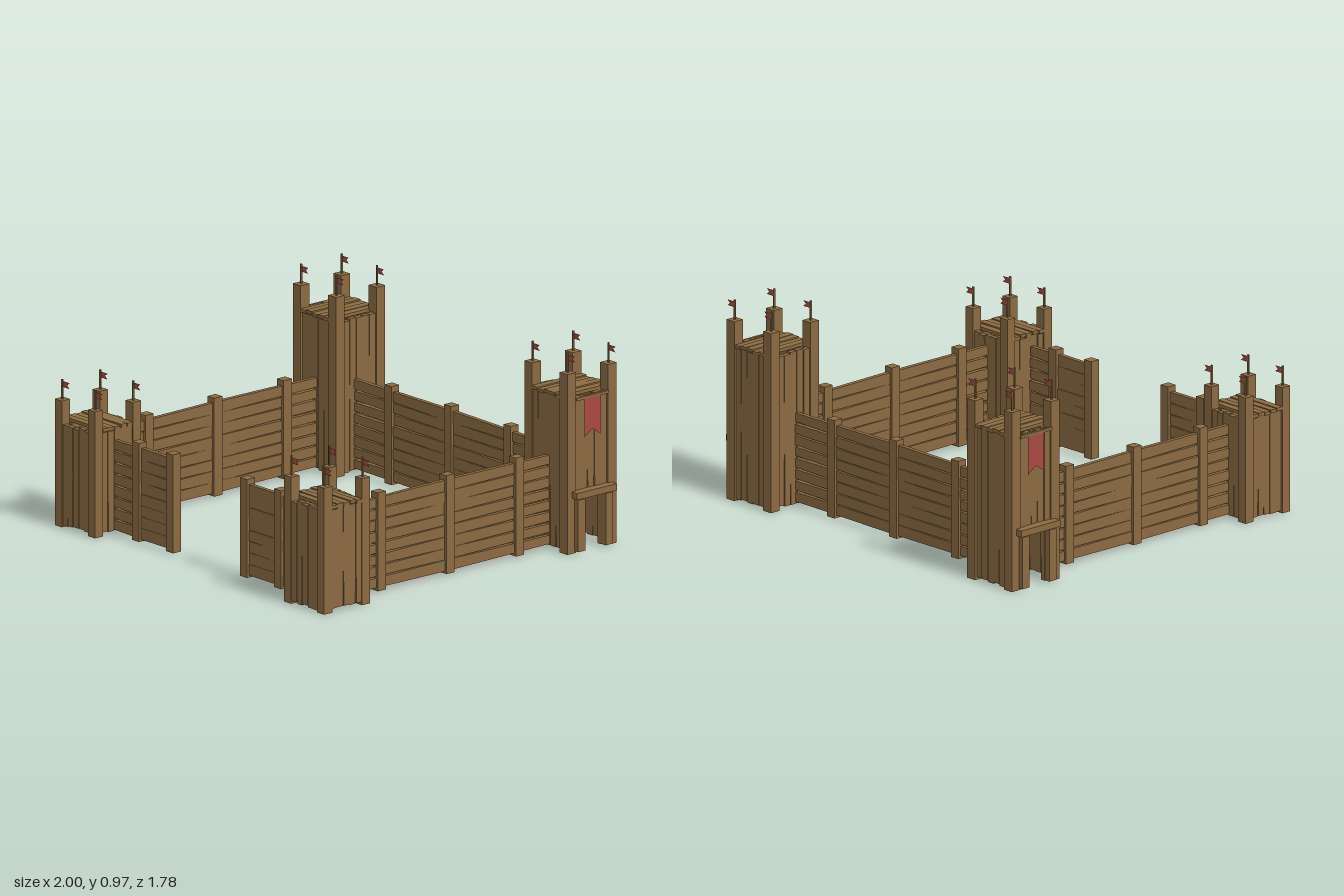
import * as THREE from 'three';

const wood = new THREE.MeshStandardMaterial({ color: 0x8b6b42 });
const cloth = new THREE.MeshStandardMaterial({ color: 0xa84a42, side: THREE.DoubleSide });

// Small seeded generator for hand-cut irregularity
let seed = 7;
const rand = () => (seed = (seed * 16807) % 2147483647) / 2147483647;
const jitter = (a) => (rand() - 0.5) * 2 * a;

function box(name, parent, w, h, d, x, y, z) {
  const m = new THREE.Mesh(new THREE.BoxGeometry(w, h, d), wood);
  m.name = name;
  m.position.set(x, y, z);
  parent.add(m);
  return m;
}

// Plank along local x whose width (local y) changes from one end over the middle to the other
function plank(name, parent, length, width, thick, a = 1, mid = 1, b = 1) {
  const g = new THREE.BoxGeometry(length, width, thick, 4, 1, 1);
  const p = g.attributes.position;
  for (let i = 0; i < p.count; i++) {
    const t = p.getX(i) / length * 2;
    p.setY(i, p.getY(i) * THREE.MathUtils.lerp(mid, t < 0 ? a : b, Math.abs(t)));
  }
  g.computeVertexNormals();
  const m = new THREE.Mesh(g, wood);
  m.name = name;
  parent.add(m);
  return m;
}

// Swallow-tailed cloth outline, length along +x
function swallowtail(length, height, notch) {
  const s = new THREE.Shape();
  s.moveTo(0, -height / 2);
  s.lineTo(length, -height / 2);
  s.lineTo(length - notch, 0);
  s.lineTo(length, height / 2);
  s.lineTo(0, height / 2);
  return new THREE.ShapeGeometry(s);
}

// Horizontal plank fence along local x, with square posts
function fence(name, parent, length, posts, a, b) {
  const wall = new THREE.Group();
  wall.name = name;
  const rows = 8, pitch = 0.055;
  for (let i = 0; i < rows; i++) {
    const m = plank('fencePlank', wall, length, pitch, 0.022,
      a + jitter(0.06), 0.99 + jitter(0.02), b + jitter(0.06));
    m.position.set(0, 0.02 + pitch * (i + 0.5), jitter(0.003));
  }
  for (const x of posts) box('fencePost', wall, 0.05, 0.475, 0.048, x, 0.2475, 0);
  parent.add(wall);
  return wall;
}

// Square tower: corner posts, vertical planks, plank deck and flags
function tower(name, parent, t) {
  const g = new THREE.Group();
  g.name = name;
  g.position.set(t.x, 0, t.z);
  const { half, post, postTop, deck, side } = t;
  const n = 5, span = half * 2 - post + 0.008, pitch = span / n;

  for (const sx of [-1, 1]) for (const sz of [-1, 1]) {
    const x = sx * half, z = sz * half;
    box('cornerPost', g, post, postTop - 0.005, post, x, (postTop + 0.005) / 2, z);
    // Flagpole and flag
    box('flagPole', g, 0.008, 0.1, 0.008, x, postTop + 0.045, z);
    const flag = new THREE.Mesh(swallowtail(0.046, 0.028, 0.016), cloth);
    flag.name = 'flag';
    flag.position.set(x + 0.003, postTop + 0.072, z);
    g.add(flag);
  }

  // Vertical wall planks; the outer wall may have a doorway
  for (let face = 0; face < 4; face++) {
    const wall = new THREE.Group();
    wall.name = 'towerWall';
    wall.rotation.y = face * Math.PI / 2;
    const outer = face === (side > 0 ? 1 : 3);
    for (let i = 0; i < n; i++) {
      const door = t.door && outer && i > 0 && i < n - 1;
      const bottom = door ? 0.27 : 0.012 + rand() * 0.012;
      const top = deck - 0.008 + jitter(0.006);
      const m = plank('wallPlank', wall, top - bottom, pitch, 0.026,
        0.9 + jitter(0.07), 0.99, 0.95 + jitter(0.05));
      m.rotation.z = Math.PI / 2;
      m.position.set((i - (n - 1) / 2) * pitch, (top + bottom) / 2, half + 0.006 + jitter(0.003));
    }
    g.add(wall);
  }

  // Deck planks on two bearers
  const deckGroup = new THREE.Group();
  deckGroup.name = 'deck';
  if (t.deckAlongZ) deckGroup.rotation.y = Math.PI / 2;
  for (let i = 0; i < n; i++) {
    const m = plank('deckPlank', deckGroup, half * 2 + post - 0.002 + jitter(0.006), pitch, 0.016,
      0.9 + jitter(0.06), 0.97, 0.9 + jitter(0.06));
    m.rotation.x = -Math.PI / 2;
    m.position.set(0, deck + jitter(0.004), (i - (n - 1) / 2) * pitch);
  }
  for (const s of [-1, 1]) box('deckBearer', deckGroup, 0.026, 0.03, span, s * half * 0.75, deck - 0.022, 0);
  g.add(deckGroup);

  if (t.door) {
    // Doorway frame
    const out = side * (half + 0.035);
    for (const s of [-1, 1]) box('doorJamb', g, 0.034, 0.25, 0.044, out, 0.14, s * 0.085);
    box('doorLintel', g, 0.06, 0.032, 0.245, side * (half + 0.033), 0.288, 0);
    // Hanging banner on a rod
    box('bannerRod', g, 0.014, 0.014, 0.2, side * (half + 0.026), 0.745, 0);
    const banner = new THREE.Mesh(swallowtail(0.19, 0.098, 0.035), cloth);
    banner.name = 'banner';
    banner.rotation.set(0, Math.PI / 2, -Math.PI / 2, 'YXZ');
    banner.position.set(side * (half + 0.029), 0.742, 0);
    g.add(banner);
  }
  parent.add(g);
}

export function createModel() {
  const model = new THREE.Group();
  model.name = 'palisadeFort';
  seed = 7;

  for (const s of [1, -1]) {
    const label = s > 0 ? 'left' : 'right';
    tower(label + 'BackTower', model, {
      x: s * 0.815, z: -0.738, half: 0.124, post: 0.054, postTop: 0.875,
      deck: 0.757, side: s, door: true, deckAlongZ: true,
    });
    tower(label + 'FrontTower', model, {
      x: s * 0.807, z: 0.745, half: 0.116, post: 0.05, postTop: 0.615,
      deck: 0.512, side: s, door: false, deckAlongZ: false,
    });

    // Side wall runs between the towers
    const sideWall = fence(label + 'SideWall', model, 1.22, [-0.415, 0.01, 0.43], 0.8, 0.8);
    sideWall.rotation.y = -Math.PI / 2;
    sideWall.position.set(s * 0.818, 0, 0.01);

    // Short front wall beside the open gateway
    const frontWall = fence(label + 'FrontWall', model, 0.42, [s * 0.045, s * -0.195],
      s > 0 ? 0.95 : 0.8, s > 0 ? 0.8 : 0.95);
    frontWall.position.set(s * 0.455, 0, 0.757);
  }

  const backWall = fence('backWall', model, 1.36, [-0.42, 0, 0.42], 0.82, 0.82);
  backWall.position.z = -0.717;
  return model;
}
